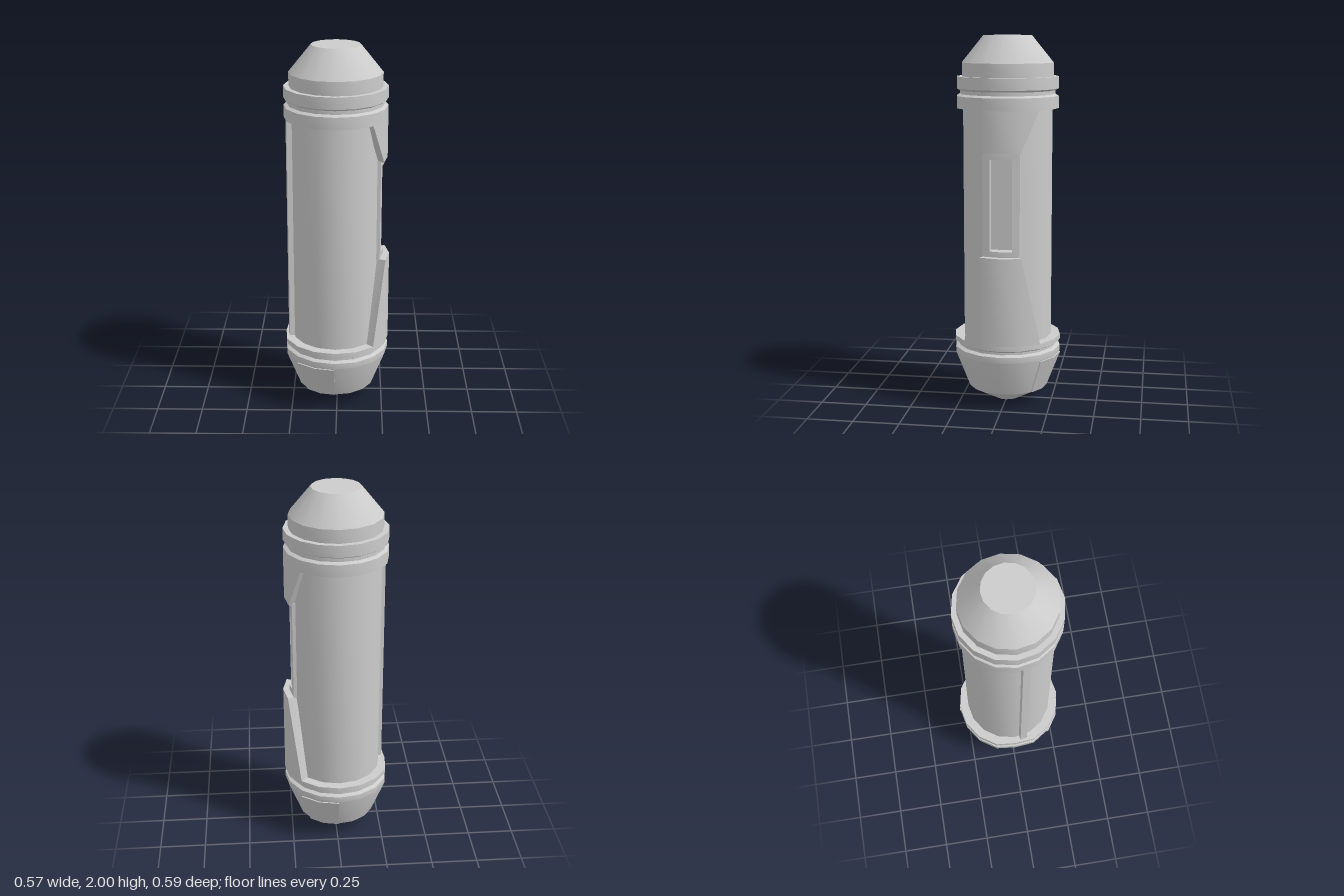
import * as THREE from 'three';
import { toCreasedNormals } from 'three/addons/utils/BufferGeometryUtils.js';

const SIDES = 16;
const STEP = (Math.PI * 2) / SIDES;

export function createModel() {
  const model = new THREE.Group();
  const canister = new THREE.Group();
  canister.name = 'canister';
  canister.position.x = -0.008;
  model.add(canister);
  const material = new THREE.MeshStandardMaterial({ color: 0xcccccc });

  function add(name, geometry) {
    const mesh = new THREE.Mesh(geometry, material);
    mesh.name = name;
    canister.add(mesh);
    return mesh;
  }

  function turned(name, profile, start = 0, sides = SIDES, shape = null) {
    const points = profile.map(([r, y]) => new THREE.Vector2(r, y));
    const geometry = new THREE.LatheGeometry(points, sides, start * STEP, sides * STEP);
    if (shape) shape(geometry.attributes.position);
    return add(name, toCreasedNormals(geometry, 0.45));
  }

  // Point on the 16-sided outline; u counts facets from +x towards +z
  function onOutline(u, r, y) {
    const corner = (k) => new THREE.Vector3(r * Math.cos(k * STEP), y, r * Math.sin(k * STEP));
    const k = Math.floor(u);
    return corner(k).lerp(corner(k + 1), u - k);
  }

  // Plate wrapped on the outline: columns of u at its bottom and top edges
  function plate(name, bottom, top, y0, y1, r0, r1, inward) {
    const positions = [];
    const tri = (a, b, c) => {
      const area = b.clone().sub(a).cross(c.clone().sub(a)).length();
      if (area > 1e-8) for (const p of [a, b, c]) positions.push(p.x, p.y, p.z);
    };
    const quad = (a, b, c, d) => { tri(a, b, c); tri(a, c, d); };
    const ob = bottom.map((u) => onOutline(u, r0, y0));
    const ot = top.map((u) => onOutline(u, r1, y1));
    const ib = ob.map(inward);
    const it = ot.map(inward);
    const n = ob.length - 1;
    for (let i = 0; i < n; i++) {
      const j = i + 1;
      quad(ob[i], ot[i], ot[j], ob[j]);
      quad(ot[i], it[i], it[j], ot[j]);
      quad(ob[i], ob[j], ib[j], ib[i]);
    }
    quad(ob[0], ib[0], it[0], ot[0]);
    quad(ib[n], ob[n], ot[n], it[n]);
    const geometry = new THREE.BufferGeometry();
    geometry.setAttribute('position', new THREE.Float32BufferAttribute(positions, 3));
    return add(name, toCreasedNormals(geometry, 0.45));
  }
  const radial = (p) => new THREE.Vector3(p.x * 0.8, p.y, p.z * 0.8);
  const straight = (p) => new THREE.Vector3(p.x - 0.07, p.y, p.z);

  // Base with its grooved collar, slightly flattened on the strip side
  turned('base', [
    [0, 0], [0.066, 0], [0.213, 0.08], [0.291, 0.28], [0.291, 0.312], [0.272, 0.322],
    [0.272, 0.335], [0.292, 0.346], [0.292, 0.374], [0, 0.374],
  ], 0, SIDES, (pos) => {
    for (let i = 0; i < pos.count; i++) pos.setX(i, Math.max(pos.getX(i), -0.28));
  });

  // Tube wall, open over the two facets of the window
  turned('body', [[0.242, 0.36], [0.242, 1.63]], 5, SIDES - 2);

  // Two upper rings, neck and blunt cone
  turned('top', [
    [0, 1.618], [0.275, 1.618], [0.275, 1.683], [0.257, 1.693], [0.257, 1.712],
    [0.275, 1.722], [0.275, 1.785], [0.247, 1.785], [0.247, 1.857], [0.13, 2], [0, 2],
  ]);

  // Tapered panels above and below the window
  const wide = [-2, -1, 0, 1, 2];
  const narrow = [-1, -1, 0, 1, 1];
  plate('upperPanel', narrow, wide, 1.4, 1.62, 0.275, 0.275, radial);
  plate('lowerPanel', wide, narrow, 0.372, 0.85, 0.292, 0.292, radial);

  // Window frame
  const rail = [-1, 0, 1];
  plate('windowSill', rail, rail, 0.845, 0.88, 0.258, 0.258, straight);
  plate('windowHeader', rail, rail, 1.365, 1.405, 0.258, 0.258, straight);
  for (const stile of [[-1, -0.6], [0.6, 1]]) {
    plate('windowStile', stile, stile, 0.88, 1.365, 0.258, 0.258, straight);
  }

  // Recessed floor of the window
  const floor = add('windowFloor', new THREE.BoxGeometry(0.02, 0.54, 0.18));
  floor.position.set(0.185, 1.125, 0);

  // Thin plates on opposite sides of the base
  for (const u of [4, 12]) {
    const columns = [u + 0.05, u + 1, u + 2];
    plate('basePlate', columns, columns, 0.082, 0.274, 0.222, 0.297, radial);
  }

  // Long strip down one facet
  const angle = STEP / 2;
  const strip = add('strip', new THREE.BoxGeometry(0.05, 1.25, 0.04));
  strip.position.set(-0.24 * Math.cos(angle), 0.996, 0.24 * Math.sin(angle));
  strip.rotation.y = Math.PI + angle;

  return model;
}
